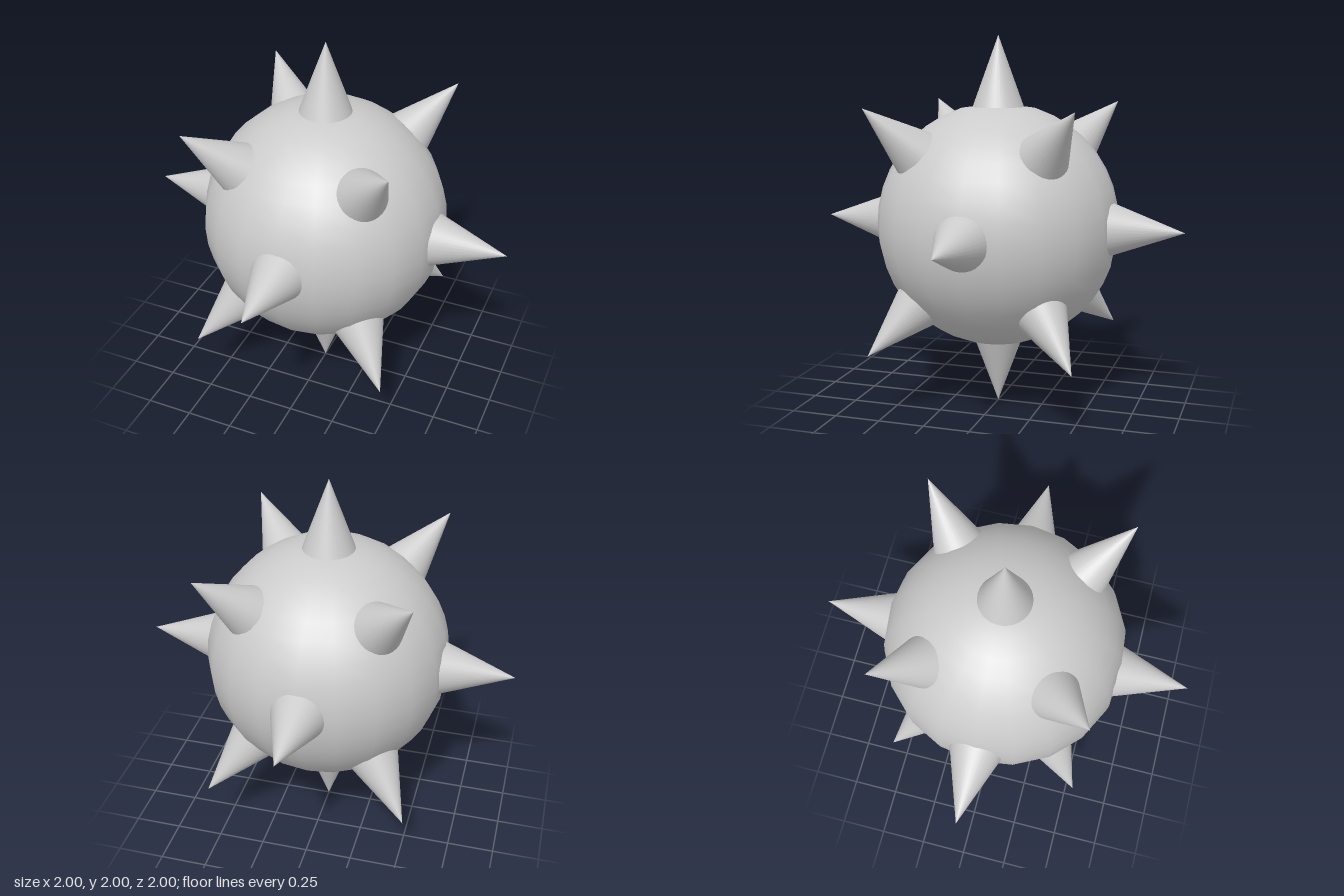
import * as THREE from 'three';

export function createModel() {
  const model = new THREE.Group();
  model.name = 'spikedBall';
  const material = new THREE.MeshStandardMaterial({ color: 0xcccccc });
  const centre = new THREE.Vector3(0, 1, 0);

  // Smooth ball, slightly flattened where the six axis spikes sit
  const bodyGeometry = new THREE.SphereGeometry(0.65, 20, 20);
  const position = bodyGeometry.attributes.position;
  const flat = 0.631;
  const v = new THREE.Vector3();
  for (let i = 0; i < position.count; i++) {
    v.fromBufferAttribute(position, i).clampScalar(-flat, flat);
    position.setXYZ(i, v.x, v.y, v.z);
  }
  const body = new THREE.Mesh(bodyGeometry, material);
  body.name = 'ball';
  body.position.copy(centre);
  model.add(body);

  // Cone whose base is sunk into the ball and whose tip points outwards
  const baseDistance = 0.58;
  const up = new THREE.Vector3(0, 1, 0);
  function addSpike(tip, name) {
    const length = tip.length() - baseDistance;
    const geometry = new THREE.ConeGeometry(length * 0.365, length, 32);
    geometry.translate(0, baseDistance + length / 2, 0);
    const spike = new THREE.Mesh(geometry, material);
    spike.name = name;
    spike.position.copy(centre);
    spike.quaternion.setFromUnitVectors(up, tip.clone().normalize());
    model.add(spike);
  }

  // Six spikes along the axes
  for (const s of [1, -1]) {
    addSpike(new THREE.Vector3(s, 0, 0), s > 0 ? 'leftSpike' : 'rightSpike');
    addSpike(new THREE.Vector3(0, s > 0 ? 1 : -0.995, 0), s > 0 ? 'topSpike' : 'bottomSpike');
    addSpike(new THREE.Vector3(0, 0, s), s > 0 ? 'frontSpike' : 'backSpike');
  }

  // Eight diagonal spikes
  for (const x of [1, -1])
    for (const y of [1, -1])
      for (const z of [1, -1])
        addSpike(new THREE.Vector3(x * 0.535, y * 0.638, z * 0.54), 'diagonalSpike');

  return model;
}
